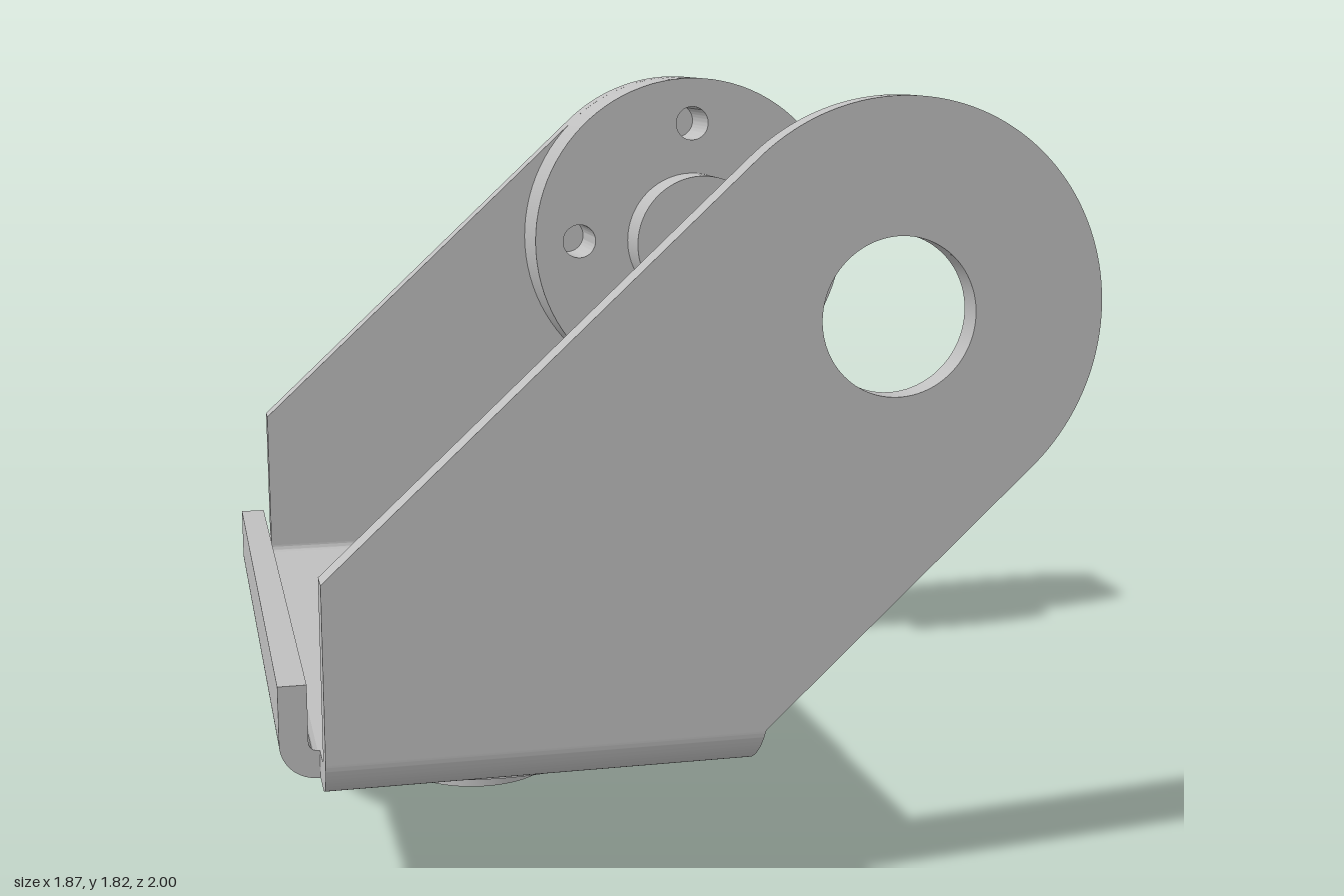
import * as THREE from 'three';
import { toCreasedNormals } from 'three/addons/utils/BufferGeometryUtils.js';

const T = 0.065;                         // sheet thickness
const FLOOR = 0.31;                      // underside of the bracket floor
const R_IN = 0.02, R_OUT = R_IN + T;     // bend radii
const BEND_Y = FLOOR + R_OUT;            // height of the bend axes
const X0 = -0.85, X1 = 0.13;             // floor ends between the flange bends
const PIVOT = { x: 0.445, y: 1.335 };    // upper horn axis
const DISC_R = 0.485, BORE_R = 0.18;

const metal = new THREE.MeshStandardMaterial({ color: 0xbfbfbf });
metal.name = 'grey metal';

function extrude(name, shape, depth) {
  const geo = new THREE.ExtrudeGeometry(shape, { depth, bevelEnabled: false, curveSegments: 48 });
  const mesh = new THREE.Mesh(toCreasedNormals(geo, 0.5), metal);
  mesh.name = name;
  return mesh;
}

function hole(x, y, r) {
  return new THREE.Path().absarc(x, y, r, 0, Math.PI * 2, true);
}

function disc(r) {
  return new THREE.Shape().absarc(0, 0, r, 0, Math.PI * 2, false);
}

// Quarter bend from flat to upright, side s = 1 or -1, with an optional straight wall up to top
function bendProfile(c, s, top = BEND_Y) {
  const end = s > 0 ? 0 : Math.PI, start = s > 0 ? -Math.PI / 2 : Math.PI * 1.5;
  const p = new THREE.Shape();
  p.absarc(c, BEND_Y, R_OUT, start, s > 0 ? end : Math.PI, s < 0);
  if (top > BEND_Y) {
    p.lineTo(c + s * R_OUT, top);
    p.lineTo(c + s * R_IN, top);
  }
  p.absarc(c, BEND_Y, R_IN, end, start, s > 0);
  p.closePath();
  return p;
}

// Round horn: bored disc with four screw holes and a raised hub, pointing along +z
function horn(name) {
  const g = new THREE.Group();
  g.name = name;
  const plate = disc(DISC_R);
  plate.holes.push(hole(0, 0, 0.06));
  for (let i = 0; i < 4; i++) {
    const a = i * Math.PI / 2;
    plate.holes.push(hole(0.35 * Math.cos(a), 0.35 * Math.sin(a), 0.05));
  }
  const ring = disc(0.2);
  ring.holes.push(hole(0, 0, 0.06));
  const hub = extrude('hornHub', ring, 0.13);
  hub.position.z = 0.18;
  g.add(extrude('hornDisc', plate, 0.18), hub);
  return g;
}

// Slanted arm plate with a round end tangent to both long edges
function armShape() {
  const slope = Math.atan2(0.735, 0.678);
  const a = Math.PI - slope;             // angle of the upper tangent point
  const p = new THREE.Shape();
  p.moveTo(-0.845, BEND_Y);
  p.lineTo(X1 + 0.021, BEND_Y);
  p.lineTo(X1 + 0.025, 0.4);
  p.absarc(PIVOT.x, PIVOT.y, DISC_R, a - Math.PI, a, false);
  p.lineTo(-0.845, 0.8);
  p.closePath();
  p.holes.push(hole(PIVOT.x, PIVOT.y, BORE_R));
  return p;
}

export function createModel() {
  const model = new THREE.Group();
  model.name = 'hingeBracket';

  // Floor with central bore
  const zEnd = 1 - R_OUT;
  const floorShape = new THREE.Shape([
    [-0.845, -zEnd], [X1, -zEnd], [X1, zEnd], [-0.845, zEnd],
    [-0.845, 0.845], [X0, 0.845], [X0, -0.845], [-0.845, -0.845],
  ].map(([x, y]) => new THREE.Vector2(x, y)));
  floorShape.holes.push(hole(-0.36, 0, BORE_R));
  const floor = extrude('floor', floorShape, T);
  floor.rotation.x = Math.PI / 2;
  floor.position.y = FLOOR + T;
  model.add(floor);

  // Low flanges along the two long edges
  for (const [name, x, s] of [['rightFlange', X0, -1], ['leftFlange', X1, 1]]) {
    const flange = extrude(name, bendProfile(x, s, 0.53), 1.69);
    flange.position.z = -0.845;
    model.add(flange);
  }

  // Arms and the bends joining them to the floor
  for (const [name, s] of [['front', 1], ['back', -1]]) {
    const bend = extrude(name + 'ArmBend', bendProfile(-s * zEnd, -s), X1 + 0.845);
    const pos = bend.geometry.attributes.position;
    for (let i = 0; i < pos.count; i++) {  // slant the open end to meet the arm edge
      if (pos.getZ(i) > 0.5) pos.setZ(i, pos.getZ(i) + (pos.getY(i) - FLOOR) * 0.25);
    }
    bend.rotation.y = Math.PI / 2;
    bend.position.x = -0.845;
    const arm = extrude(name + 'Arm', armShape(), T);
    arm.position.z = s > 0 ? 1 - T : -1;
    model.add(bend, arm);
  }

  // Horns under the floor and inside the back arm
  const lower = horn('lowerHorn');
  lower.rotation.x = Math.PI / 2;
  lower.position.set(-0.36, FLOOR, 0);
  const upper = horn('upperHorn');
  upper.position.set(PIVOT.x, PIVOT.y, -1 + T);
  model.add(lower, upper);

  return model;
}
